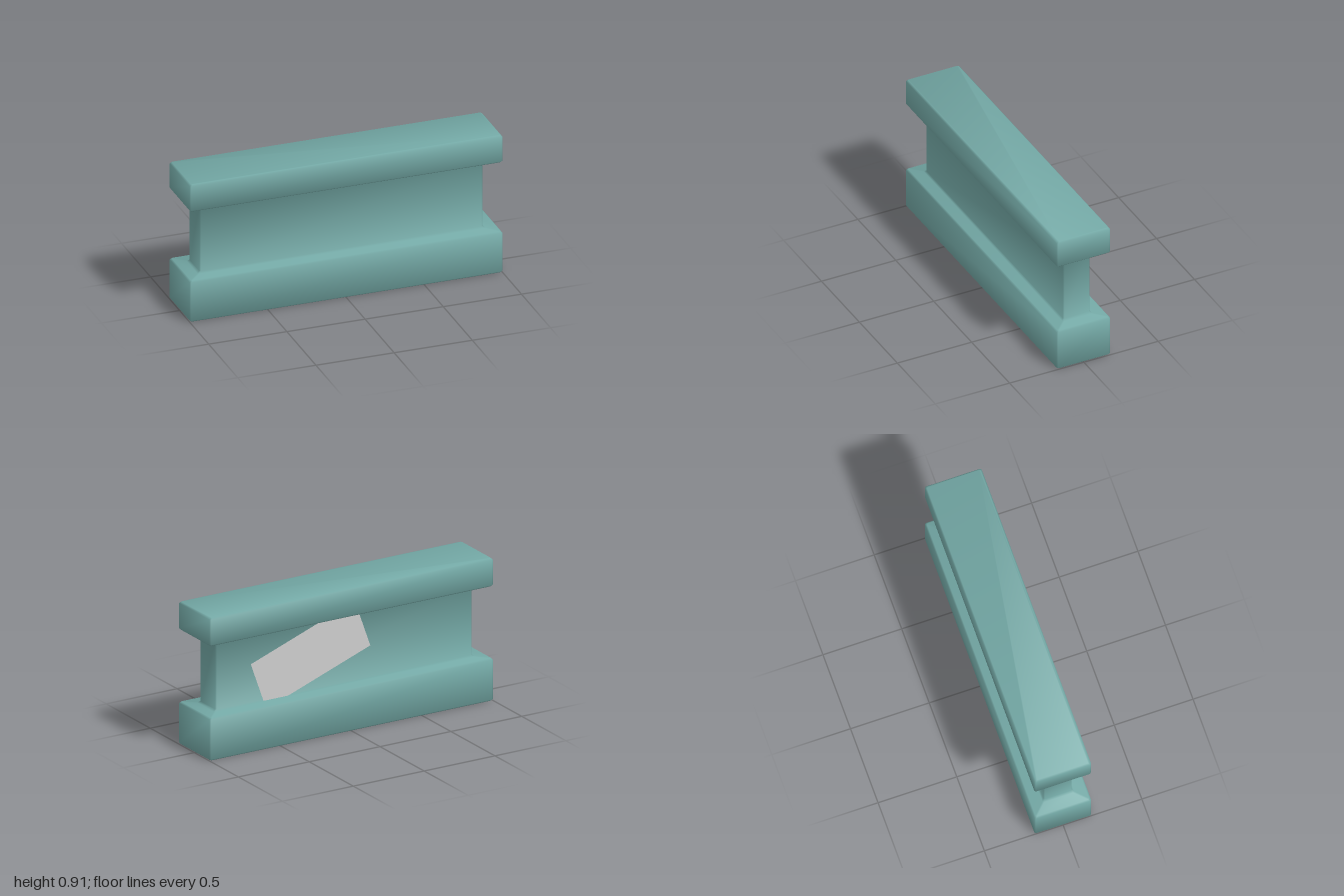
import * as THREE from 'three';

// Beam profile from bottom to top: height, half length, half depth, normal tilt in degrees
const PROFILE = [
  // lower flange
  [0, 0.99, 0.17, -67.5],
  [0.01, 1, 0.18, -22.5],
  [0.262, 1, 0.18, 22.5],
  [0.272, 0.99, 0.17, 67.5],
  // web with small flares at both ends
  [0.274, 0.92, 0.1, 67.5],
  [0.285, 0.905, 0.09, 22.5],
  [0.716, 0.905, 0.09, -22.5],
  [0.728, 0.92, 0.1, -67.5],
  // upper flange
  [0.73, 0.99, 0.17, -67.5],
  [0.74, 1, 0.18, -22.5],
  [0.9, 1, 0.18, 22.5],
  [0.91, 0.99, 0.17, 67.5],
];

const CHAMFER = 0.008;
const SIDES = 8;

// Corner points of a chamfered rectangle, running from +x towards +z
function chamferedRing(a, b) {
  const c = CHAMFER;
  return [
    [a, b - c], [a - c, b], [c - a, b], [-a, b - c],
    [-a, c - b], [c - a, -b], [a - c, -b], [a, c - b],
  ];
}

function beamGeometry() {
  const positions = [], normals = [], index = [];
  PROFILE.forEach(([y, halfX, halfZ, tiltDeg], level) => {
    const tilt = THREE.MathUtils.degToRad(tiltDeg);
    chamferedRing(halfX, halfZ).forEach(([x, z], i) => {
      const turn = (i + 0.5) * Math.PI / 4;
      positions.push(x, y, z);
      normals.push(Math.cos(turn) * Math.cos(tilt), Math.sin(tilt), Math.sin(turn) * Math.cos(tilt));
      if (level === 0) return;
      const next = (i + 1) % SIDES;
      const low = (level - 1) * SIDES, high = level * SIDES;
      index.push(low + i, high + i, low + next, low + next, high + i, high + next);
    });
  });
  // bottom and top caps
  const top = (PROFILE.length - 1) * SIDES;
  for (let i = 1; i < SIDES - 1; i++) {
    index.push(0, i, i + 1, top, top + i + 1, top + i);
  }
  const geometry = new THREE.BufferGeometry();
  geometry.setAttribute('position', new THREE.Float32BufferAttribute(positions, 3));
  geometry.setAttribute('normal', new THREE.Float32BufferAttribute(normals, 3));
  geometry.setIndex(index);
  return geometry;
}

export function createModel() {
  const teal = new THREE.MeshStandardMaterial({ color: 0x73a8a5 });
  teal.name = 'teal';
  const grey = new THREE.MeshStandardMaterial({ color: 0xcccccc });
  grey.name = 'light grey';

  const group = new THREE.Group();
  group.name = 'flangedBeam';

  const beam = new THREE.Mesh(beamGeometry(), teal);
  beam.name = 'beam';
  group.add(beam);

  // Tilted flat panel on the back of the web, its corners sunk into the flanges
  const panel = new THREE.Mesh(
    new THREE.PlaneGeometry(0.78, 0.325).rotateY(Math.PI).rotateZ(-0.345), grey);
  panel.name = 'backPanel';
  panel.position.set(0.24, 0.507, -0.097);
  group.add(panel);

  return group;
}
